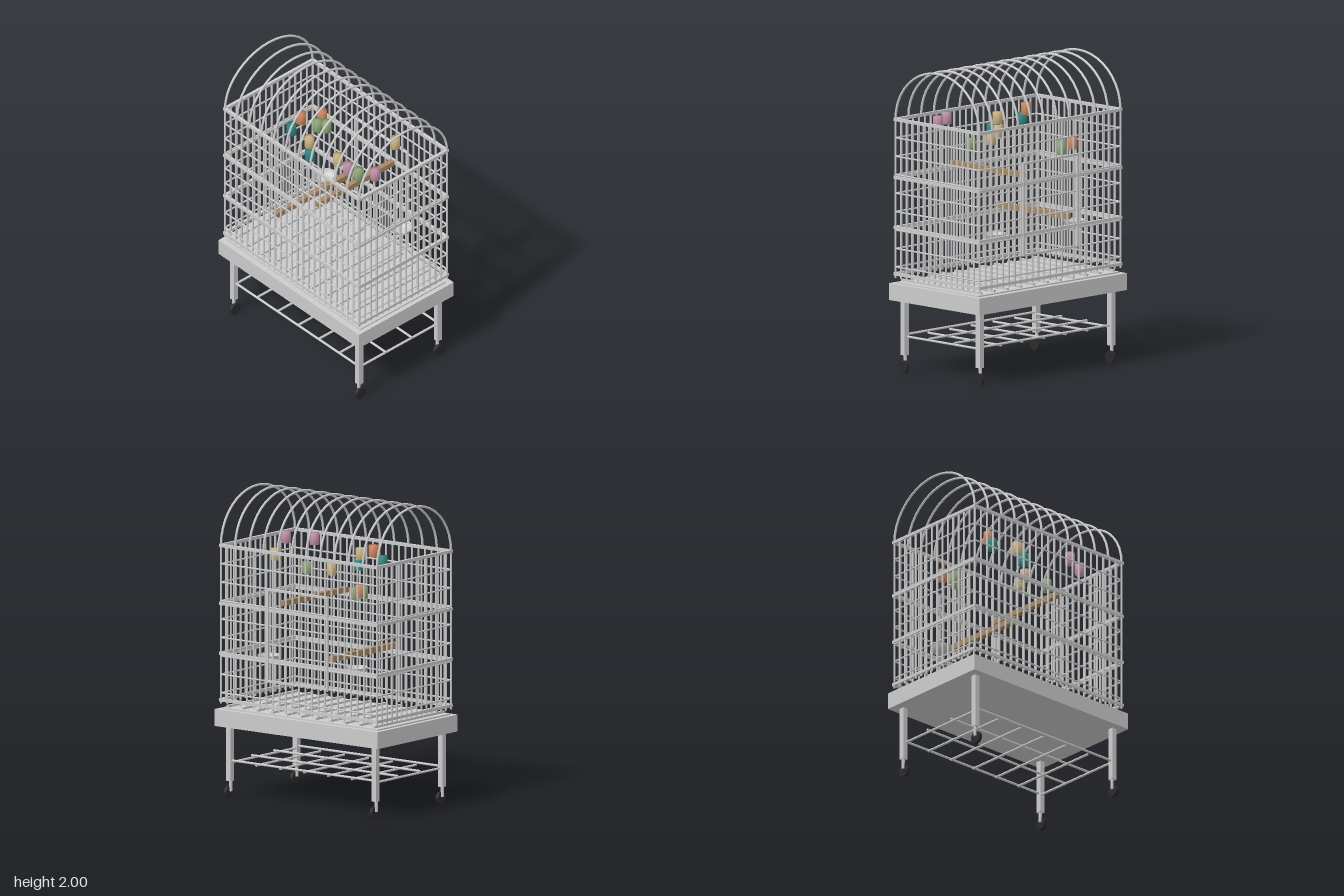
import * as THREE from 'three';
import { mergeVertices } from 'three/addons/utils/BufferGeometryUtils.js';

const mat = (color, side = THREE.FrontSide) => new THREE.MeshStandardMaterial({ color, side });
const GREY = mat(0xcccccc);
const WOOD = mat(0xa88a62);
const BLACK = mat(0x2a2a2a);
const unitBox = new THREE.BoxGeometry(1, 1, 1);
const unitRod = new THREE.CylinderGeometry(1, 1, 1, 8);

function add(parent, name, geometry, material, x, y, z) {
  const mesh = new THREE.Mesh(geometry, material);
  mesh.name = name;
  mesh.position.set(x, y, z);
  parent.add(mesh);
  return mesh;
}

function box(parent, name, w, h, d, x, y, z, material = GREY) {
  add(parent, name, unitBox, material, x, y, z).scale.set(w, h, d);
}

// Round bar centred on a point, running along one axis
function rod(parent, name, axis, radius, length, x, y, z) {
  const mesh = add(parent, name, unitRod, GREY, x, y, z);
  mesh.scale.set(radius, length, radius);
  if (axis === 'x') mesh.rotation.z = Math.PI / 2;
  if (axis === 'z') mesh.rotation.x = Math.PI / 2;
}

function group(parent, name) {
  const g = new THREE.Group();
  g.name = name;
  parent.add(g);
  return g;
}

const HX = 0.38, HZ = 0.64; // half width and half depth of the cage
const BOTTOM = 0.62, TOP = 1.65;

function buildStand(root) {
  const stand = group(root, 'stand');
  box(stand, 'tray', 0.82, 0.11, 1.34, 0, 0.53, 0);
  box(stand, 'trayInsert', 0.74, 0.012, 1.28, 0, 0.588, 0);
  for (let i = -5; i <= 5; i++) box(stand, 'floorGrateBar', 0.72, 0.014, 0.018, 0, 0.604, i * 0.12);

  // Legs with casters
  for (const x of [-0.34, 0.34]) {
    for (const z of [-0.597, 0.597]) {
      box(stand, 'leg', 0.037, 0.36, 0.037, x, 0.297, z);
      rod(stand, 'casterStem', 'y', 0.011, 0.09, x, 0.095, z - 0.004);
      const wheel = add(stand, 'casterWheel', new THREE.CylinderGeometry(0.041, 0.041, 0.022, 16), BLACK, x, 0.042, z + 0.009);
      wheel.rotation.x = Math.PI / 2;
    }
  }

  // Lower rack
  for (let i = 0; i < 4; i++) rod(stand, 'rackLongBar', 'z', 0.008, 1.2, -0.34 + i * 0.68 / 3, 0.25, 0);
  for (let i = -3; i <= 3; i++) rod(stand, 'rackCrossBar', 'x', 0.008, 0.66, 0, 0.237, i * 0.196);
}

function buildCage(root) {
  const cage = group(root, 'cage');
  const h = TOP - BOTTOM, mid = (TOP + BOTTOM) / 2;

  // Upright bars
  const nx = 15, nz = 24;
  for (const s of [-1, 1]) {
    for (let i = 0; i <= nx; i++) rod(cage, 'endBar', 'y', 0.007, h, -HX + (2 * HX * i) / nx, mid, s * HZ);
    for (let i = 1; i < nz; i++) rod(cage, 'sideBar', 'y', 0.007, h, s * HX, mid, -HZ + (2 * HZ * i) / nz);

    // Thin rails
    for (let i = 0; i < 8; i++) {
      const y = 0.69 + i * 0.12;
      rod(cage, 'endRail', 'x', 0.006, 2 * HX, 0, y, s * HZ);
      rod(cage, 'sideRail', 'z', 0.006, 2 * HZ, s * HX, y, 0);
    }
    // Heavy frame rails
    for (const y of [0.645, 0.947, 1.273, TOP]) {
      box(cage, 'endFrameRail', 2 * HX + 0.02, 0.02, 0.02, 0, y, s * HZ);
      box(cage, 'sideFrameRail', 0.02, 0.02, 2 * HZ + 0.02, s * HX, y, 0);
    }
  }

  // Roof hoops
  const points = [];
  for (let i = 0; i <= 16; i++) {
    const a = (Math.PI * i) / 16;
    points.push(new THREE.Vector3(HX * Math.cos(a), TOP + 0.342 * Math.sin(a), 0));
  }
  const hoop = new THREE.TubeGeometry(new THREE.CatmullRomCurve3(points), 20, 0.008, 8);
  for (let i = 0; i < 12; i++) add(cage, 'roofHoop', hoop, GREY, 0, 0, -HZ + (2 * HZ * i) / 11);

  // Door on the left side, with a hinge bar
  const door = group(cage, 'door');
  for (const z of [-0.24, 0.25]) box(door, 'doorStile', 0.014, 0.61, 0.014, 0.388, 1.11, z);
  for (const y of [0.812, 1.408]) box(door, 'doorRail', 0.014, 0.014, 0.5, 0.388, y, 0.005);
  rod(door, 'hingeBar', 'y', 0.006, 0.6, 0.386, 1.11, 0.268);
}

function buildFittings(root) {
  const fittings = group(root, 'fittings');
  box(fittings, 'upperPerch', 0.66, 0.035, 0.036, 0, 1.318, 0.177, WOOD);
  box(fittings, 'lowerPerch', 0.66, 0.038, 0.038, 0, 1.0, -0.223, WOOD);

  // Food bowls
  const profile = [[0, 0], [0.035, 0.003], [0.056, 0.016], [0.069, 0.034], [0.074, 0.052]]
    .map(([r, y]) => new THREE.Vector2(r, y));
  const bowl = new THREE.LatheGeometry(profile, 20);
  const bowlMat = mat(0xcccccc, THREE.DoubleSide);
  for (const z of [-0.36, 0.36]) add(fittings, 'bowl', bowl, bowlMat, 0.24, 0.9, z);

  // Hanging toy blocks: eight-sided, softly shaded across the edges
  let block = new THREE.CylinderGeometry(0.034, 0.034, 0.075, 8).rotateY(Math.PI / 8);
  block.deleteAttribute('normal');
  block.deleteAttribute('uv');
  block = mergeVertices(block);
  block.computeVertexNormals();
  const toys = {
    pink: [0xc493aa, [-0.21, 1.645, 0.345], [-0.125, 1.65, 0.51]],
    green: [0x93ad7b, [-0.06, 1.485, 0.28], [0.145, 1.42, -0.335], [0.185, 1.415, -0.295]],
    tan: [0xd2b885, [-0.065, 1.495, 0.09], [-0.165, 1.6, -0.07], [0.225, 1.61, 0.315]],
    teal: [0x2a8c88, [-0.19, 1.525, -0.04], [-0.14, 1.575, -0.27]],
    orange: [0xd58a5e, [-0.08, 1.65, -0.245], [0.215, 1.445, -0.37]],
  };
  for (const [name, [color, ...places]] of Object.entries(toys)) {
    const material = mat(color);
    for (const p of places) add(fittings, name + 'ToyBlock', block, material, ...p);
  }
}

export function createModel() {
  const root = new THREE.Group();
  root.name = 'birdCage';
  buildStand(root);
  buildCage(root);
  buildFittings(root);
  return root;
}
